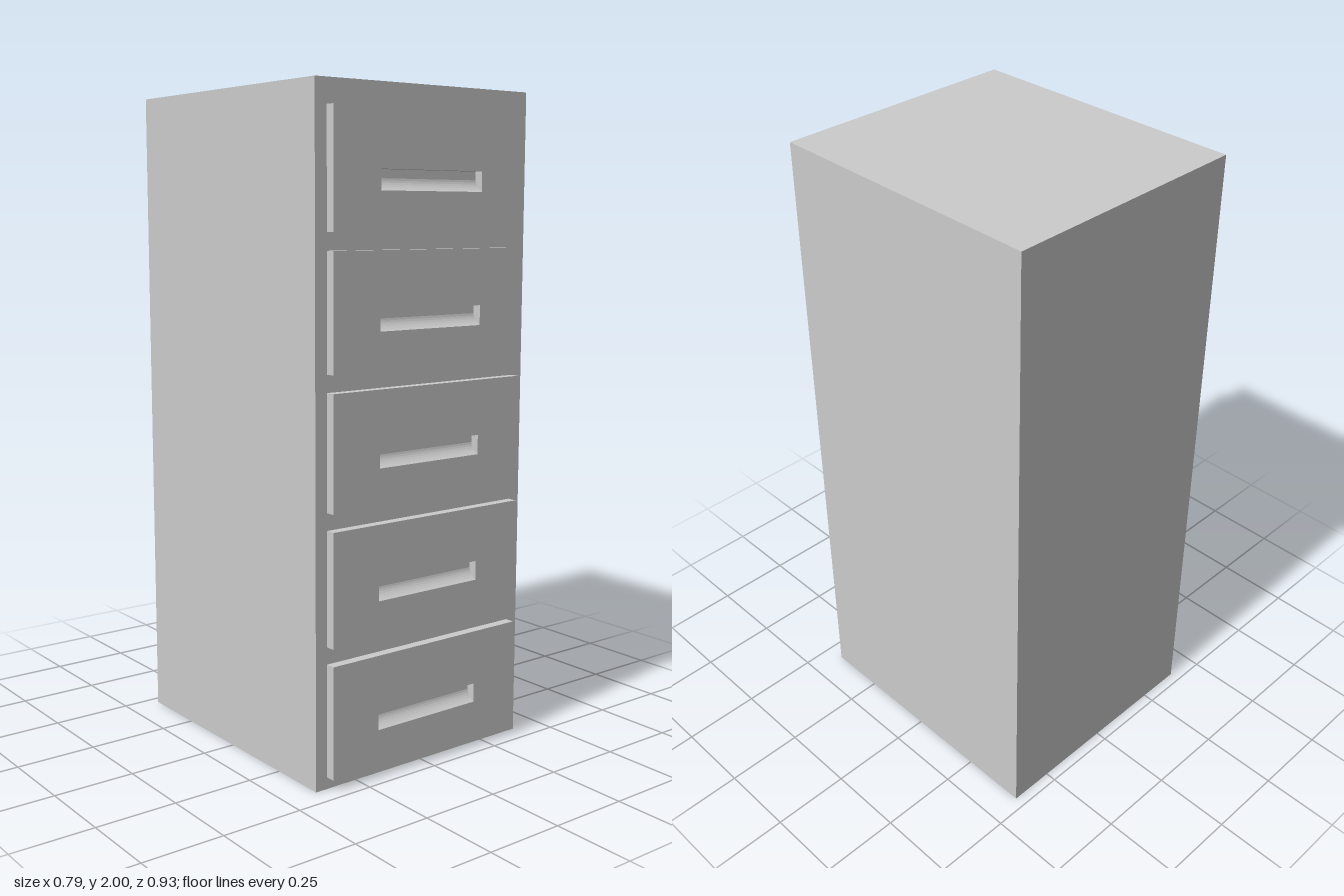
import * as THREE from 'three';

const material = new THREE.MeshStandardMaterial({ color: 0xcccccc });

const WIDTH = 0.79, HEIGHT = 2, BACK = -0.465, BODY_FRONT = 0.435;
const DRAWERS = 5, PITCH = 0.389, FIRST_Y = 0.204;
const DRAWER_W = 0.71, DRAWER_H = 0.338, DRAWER_T = 0.03;
const GRIP_W = 0.38, GRIP_TOP = 0.002, GRIP_BOTTOM = -0.057;

function part(name, geometry) {
  const mesh = new THREE.Mesh(geometry, material);
  mesh.name = name;
  return mesh;
}

function rectangle(path, x0, y0, x1, y1) {
  path.moveTo(x0, y0);
  path.lineTo(x1, y0);
  path.lineTo(x1, y1);
  path.lineTo(x0, y1);
  path.closePath();
  return path;
}

// Drawer panel with a slot for the finger grip
function panelGeometry() {
  const shape = rectangle(new THREE.Shape(), -DRAWER_W / 2, -DRAWER_H / 2, DRAWER_W / 2, DRAWER_H / 2);
  shape.holes.push(rectangle(new THREE.Path(), -GRIP_W / 2, GRIP_BOTTOM, GRIP_W / 2, GRIP_TOP));
  return new THREE.ExtrudeGeometry(shape, { depth: DRAWER_T, bevelEnabled: false });
}

// Scooped floor of the grip: upright at the back, curving out to the panel face
function scoopGeometry() {
  const back = 0.003;
  const profile = new THREE.Shape();
  profile.moveTo(0, GRIP_BOTTOM);
  profile.lineTo(DRAWER_T, GRIP_BOTTOM);
  profile.quadraticCurveTo(back + 0.003, GRIP_BOTTOM + 0.015, back, GRIP_BOTTOM + 0.034);
  profile.lineTo(back, GRIP_TOP);
  profile.lineTo(0, GRIP_TOP);
  profile.closePath();
  const geometry = new THREE.ExtrudeGeometry(profile, { depth: GRIP_W, bevelEnabled: false, curveSegments: 6 });
  return geometry.rotateY(-Math.PI / 2).translate(GRIP_W / 2, 0, 0);
}

export function createModel() {
  const model = new THREE.Group();
  model.name = 'filingCabinet';

  const body = part('cabinetBody', new THREE.BoxGeometry(WIDTH, HEIGHT, BODY_FRONT - BACK));
  body.position.set(0, HEIGHT / 2, (BODY_FRONT + BACK) / 2);
  model.add(body);

  // Stack of identical drawers
  const panel = panelGeometry();
  const scoop = scoopGeometry();
  for (let i = 0; i < DRAWERS; i++) {
    const drawer = new THREE.Group();
    drawer.name = `drawer${i + 1}`;
    drawer.add(part('drawerFront', panel), part('gripRecess', scoop));
    drawer.position.set(0, FIRST_Y + i * PITCH, BODY_FRONT);
    model.add(drawer);
  }
  return model;
}
